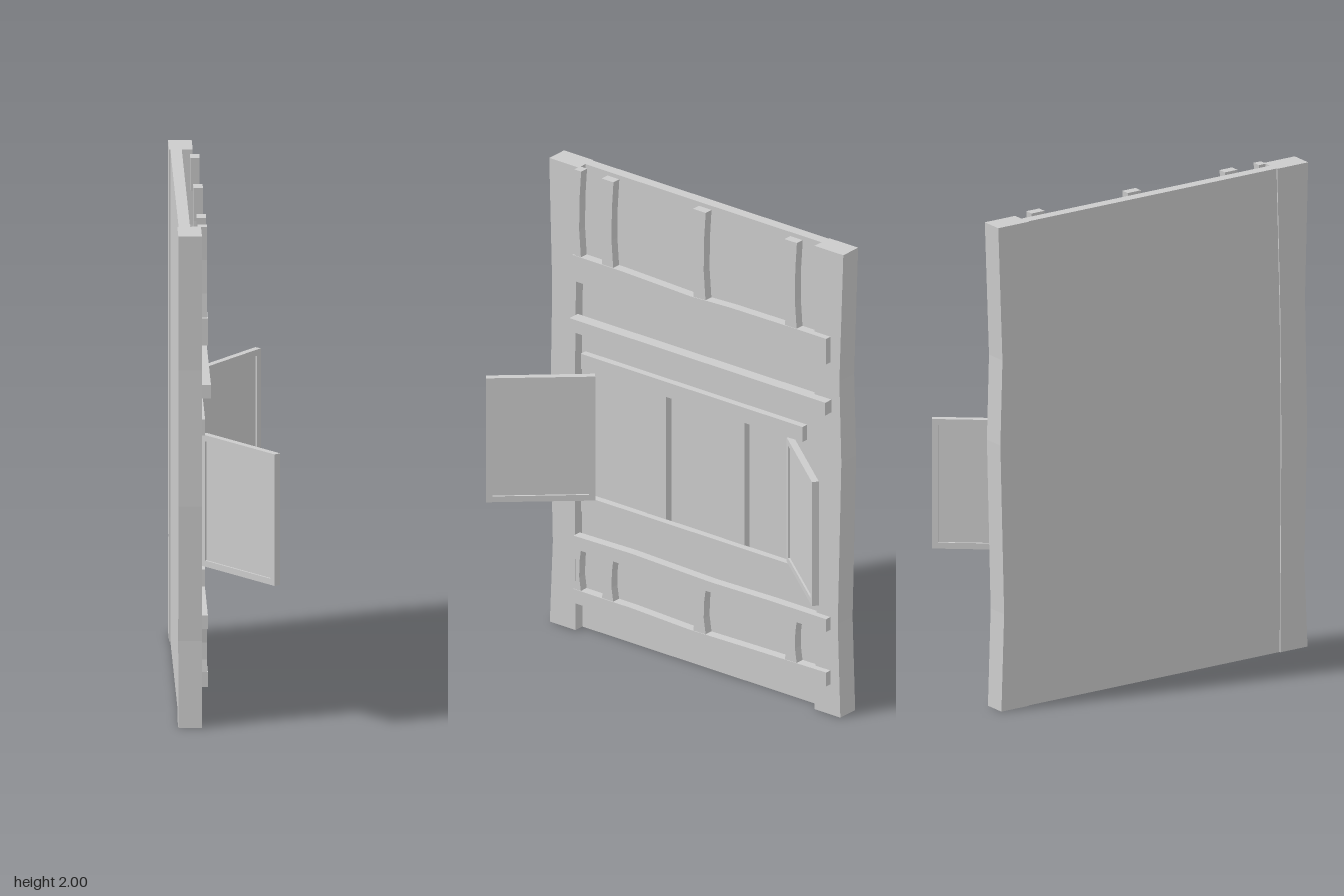
import * as THREE from 'three';

const material = new THREE.MeshStandardMaterial({ color: 0xcccccc, flatShading: true });

// Plank cut from an outline of [u, y] points (u = -z), running from x0 to x1
function plank(name, points, x0, x1) {
  const shape = new THREE.Shape(points.map(([u, y]) => new THREE.Vector2(u, y)));
  const geometry = new THREE.ExtrudeGeometry(shape, { depth: x1 - x0, bevelEnabled: false });
  geometry.rotateY(Math.PI / 2).translate(x0, 0, 0);
  const mesh = new THREE.Mesh(geometry, material);
  mesh.name = name;
  return mesh;
}

const rect = (u0, u1, y0, y1) => [[u0, y0], [u1, y0], [u1, y1], [u0, y1]];

// Shutter leaf: frame with a hole and a thin recessed panel, hinged at (x, z)
function shutter(name, hinge, tip) {
  const [dx, dz] = [tip[0] - hinge[0], tip[1] - hinge[1]];
  const width = Math.hypot(dx, dz), height = 0.535, border = 0.025, thick = 0.028;
  const outline = new THREE.Shape(rect(0, width, 0, height).map(p => new THREE.Vector2(...p)));
  outline.holes.push(new THREE.Path(
    rect(border, width - border, border, height - border).reverse().map(p => new THREE.Vector2(...p))));
  const frame = new THREE.Mesh(
    new THREE.ExtrudeGeometry(outline, { depth: thick, bevelEnabled: false }).translate(0, 0, -thick / 2), material);
  frame.name = name + 'Frame';
  const panel = new THREE.Mesh(
    new THREE.BoxGeometry(width - 2 * border, height - 2 * border, 0.012), material);
  panel.position.set(width / 2, height / 2, 0);
  panel.name = name + 'Panel';
  const leaf = new THREE.Group();
  leaf.name = name;
  leaf.add(frame, panel);
  leaf.position.set(hinge[0], 0.6, hinge[1]);
  leaf.rotation.y = Math.atan2(-dz, dx);
  return leaf;
}

export function createModel() {
  const model = new THREE.Group();
  model.name = 'shutteredWallPanel';
  const add = (...args) => model.add(plank(...args));

  // Back wall and the two rough-hewn corner posts
  add('wall', rect(-0.61, 0.62, 0, 2), -0.195, -0.15);
  add('frontPost', [[-0.73, 0], [-0.6, 0], [-0.605, 0.9], [-0.6, 1.4], [-0.585, 2],
    [-0.733, 2], [-0.718, 1.45], [-0.728, 0.9], [-0.715, 0.35]], -0.2, -0.107);
  add('backPost', [[0.605, 0], [0.735, 0], [0.722, 0.4], [0.74, 1.1], [0.73, 1.45],
    [0.75, 2], [0.605, 2], [0.605, 1.4], [0.615, 0.5]], -0.2, -0.107);

  // Horizontal rails
  add('upperBeam', [[-0.595, 1.52], [-0.3, 1.52], [0, 1.532], [0.2, 1.53], [0.45, 1.52], [0.685, 1.52],
    [0.685, 1.63], [0.5, 1.63], [0.2, 1.628], [0, 1.62], [-0.35, 1.63], [-0.595, 1.63]], -0.12, -0.08);
  add('lintelBeam', rect(-0.6, 0.69, 1.305, 1.36), -0.12, -0.068);
  add('windowTopRail', rect(-0.56, 0.557, 1.145, 1.21), -0.12, -0.09);
  add('windowBottomRail', rect(-0.56, 0.557, 0.53, 0.6), -0.12, -0.09);
  add('middleBeam', [[-0.59, 0.365], [-0.3, 0.365], [0.03, 0.372], [0.4, 0.365], [0.685, 0.365],
    [0.685, 0.42], [0.4, 0.42], [0.1, 0.415], [-0.3, 0.425], [-0.59, 0.42]], -0.12, -0.08);
  add('lowerBeam', [[-0.59, 0.13], [-0.2, 0.135], [0.1, 0.14], [0.685, 0.13],
    [0.685, 0.19], [0.3, 0.185], [0, 0.18], [-0.3, 0.19], [-0.59, 0.19]], -0.12, -0.08);

  // Vertical studs, slightly waisted, above and below
  for (const [u0, u1] of [[-0.588, -0.553], [-0.45, -0.39], [0.012, 0.075], [0.473, 0.535]]) {
    for (const [name, y0, y1] of [['upperStud', 1.61, 2], ['lowerStud', 0.18, 0.375]]) {
      const h = y1 - y0;
      add(name, [[u0, y0], [u1, y0], [u1 - 0.01, y0 + h * 0.35], [u1 - 0.008, y0 + h * 0.7], [u1, y1],
        [u0, y1], [u0 + 0.01, y0 + h * 0.65], [u0 + 0.01, y0 + h * 0.3]], -0.12, -0.083);
    }
  }

  // Boards behind the window rails
  for (const u of [-0.252, 0.143]) add('windowBoard', rect(u, u + 0.1, 0.58, 1.16), -0.15, -0.118);

  // Open shutters
  model.add(shutter('frontShutter', [-0.095, 0.492], [0.187, 0.816]));
  model.add(shutter('backShutter', [-0.115, -0.475], [0.156, -0.82]));
  return model;
}
